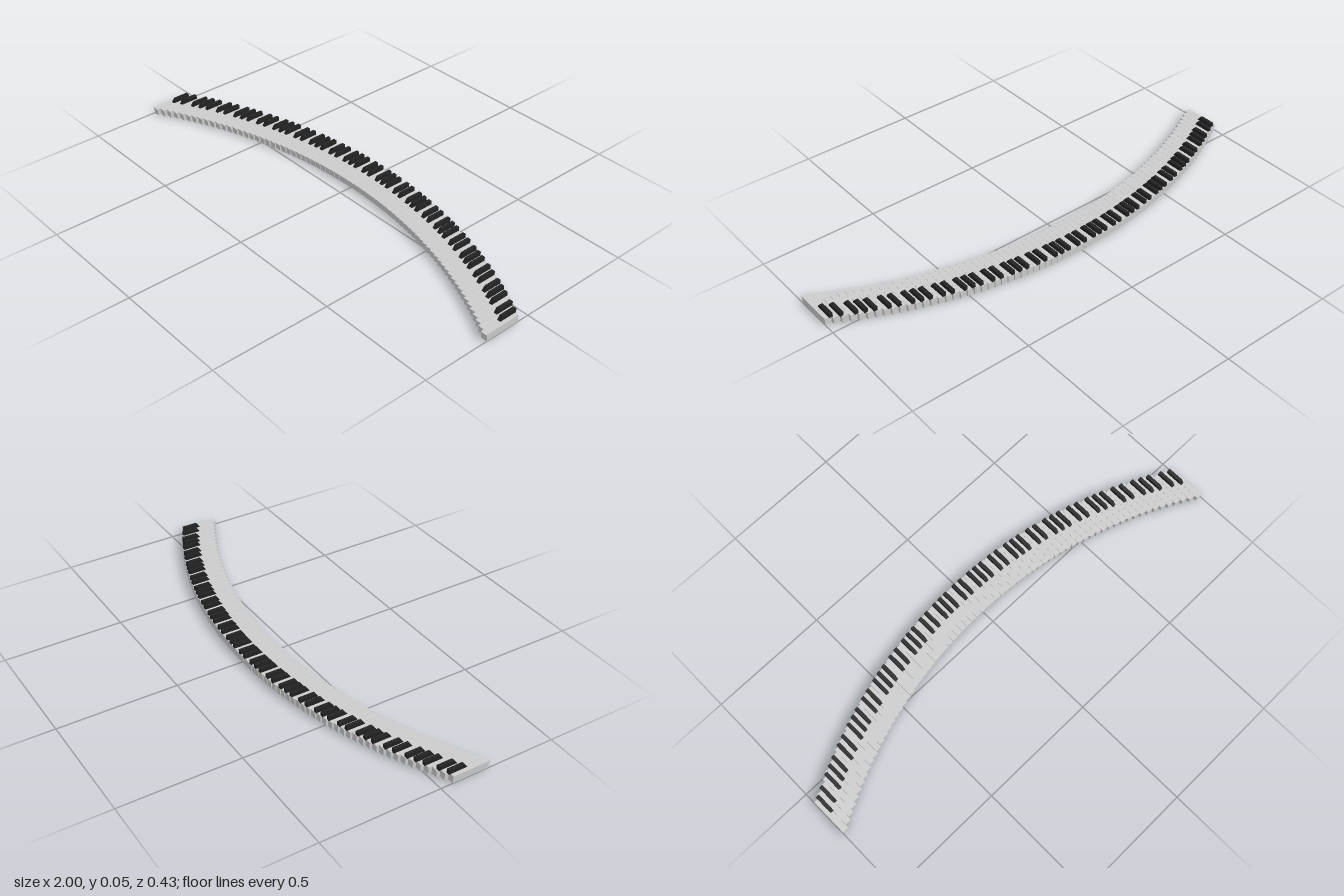
import * as THREE from 'three';

const WHITE_KEYS = 73;
const PITCH = 2 / WHITE_KEYS;
const BACK = -0.213;          // z of the back edge at the middle
const RADIUS = 1.967;         // radius of the keyboard's arc
const SHARPS = [0.88, 2.12, 3.85, 5, 6.15]; // positions within an octave, in white keys

// Back edge of a key at x, along a circular arc
const backAt = (x) => BACK + RADIUS - Math.sqrt(RADIUS * RADIUS - x * x);

// Side profile [z, y] measured from the back edge, extruded across the key's width
function keyGeometry(profile, width) {
  const shape = new THREE.Shape(profile.map(([z, y]) => new THREE.Vector2(-z, y)));
  const geo = new THREE.ExtrudeGeometry(shape, { depth: width, bevelEnabled: false });
  geo.translate(0, 0, -width / 2);
  return geo.rotateY(Math.PI / 2);
}

export function createModel() {
  const model = new THREE.Group();
  model.name = 'curvedKeyboard';
  const white = new THREE.MeshStandardMaterial({ color: 0xcccccc });
  const black = new THREE.MeshStandardMaterial({ color: 0x222222 });

  // White key with a small overhanging lip at the front
  const whiteGeo = keyGeometry(
    [[0, 0], [0.157, 0], [0.157, 0.024], [0.161, 0.025], [0.161, 0.03], [0, 0.03]],
    PITCH * 0.98);
  // Black key with a sloping front
  const blackGeo = keyGeometry(
    [[0, 0.029], [0.081, 0.029], [0.068, 0.047], [0, 0.047]], 0.015);

  const addKey = (name, geo, mat, x) => {
    const key = new THREE.Mesh(geo, mat);
    key.name = name;
    key.position.set(x, 0, backAt(x));
    model.add(key);
  };

  for (let i = 0; i < WHITE_KEYS; i++) {
    addKey('whiteKey' + (i + 1), whiteGeo, white, -1 + (i + 0.5) * PITCH);
  }

  // Groups of two and three black keys, ending with a pair
  let count = 0;
  for (let octave = 0; octave * 7 < WHITE_KEYS; octave++) {
    for (const s of SHARPS) {
      const at = octave * 7 + s;
      if (at < WHITE_KEYS - 0.5) addKey('blackKey' + ++count, blackGeo, black, -1 + at * PITCH);
    }
  }
  return model;
}
